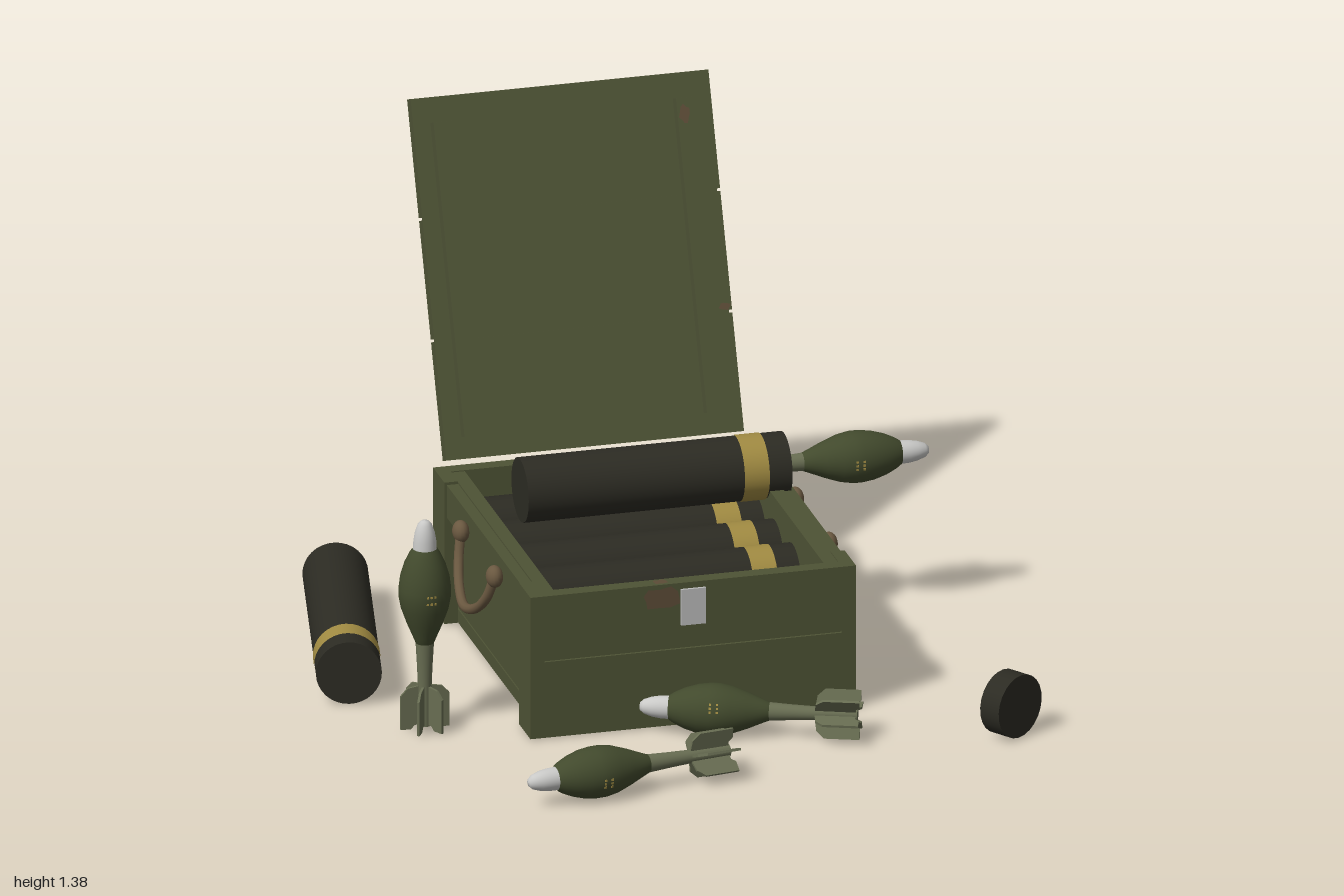
import * as THREE from 'three';

const mat = (name, color, side = THREE.FrontSide) => {
  const m = new THREE.MeshStandardMaterial({ color, side });
  m.name = name;
  return m;
};

export function createModel() {
  const olive = mat('olive paint', 0x4e5335);
  const tubeDark = mat('dark fibre tube', 0x2c2b23);
  const gold = mat('yellow band', 0xa18b42);
  const bodyGreen = mat('shell green', 0x424a2d);
  const finGreen = mat('fin grey green', 0x686d52);
  const silver = mat('silver nose', 0xc9c9c7);
  const rope = mat('brown rope', 0x6a5840);
  const rust = mat('worn wood', 0x5d4c37, THREE.DoubleSide);
  const steel = mat('hinge steel', 0x55565a);
  const latchSteel = mat('latch steel', 0xbcbcbc);

  const root = new THREE.Group();
  root.name = 'shellCrate';
  const UP = new THREE.Vector3(0, 1, 0);

  const add = (parent, name, geo, material, x = 0, y = 0, z = 0) => {
    const m = new THREE.Mesh(geo, material);
    m.name = name;
    m.position.set(x, y, z);
    parent.add(m);
    return m;
  };
  // box given by its limits on each axis
  const slab = (parent, name, material, x0, x1, y0, y1, z0, z1) =>
    add(parent, name, new THREE.BoxGeometry(x1 - x0, y1 - y0, z1 - z0), material,
      (x0 + x1) / 2, (y0 + y1) / 2, (z0 + z1) / 2);
  // irregular flat worn patch
  const patch = (parent, x, y, z, rx, ry, rotX = 0, rotY = 0) => {
    const g = new THREE.CircleGeometry(1, 11);
    const p = g.attributes.position;
    for (let i = 1; i < p.count; i++) {
      const a = ((i - 1) % 11) * 2.3, k = 0.85 + 0.15 * Math.sin(a * 1.7 + x * 9);
      p.setXY(i, p.getX(i) * k * rx, p.getY(i) * k * ry);
    }
    add(parent, 'wornPatch', g, rust, x, y, z).rotation.set(rotX, rotY, 0);
  };

  // ---- crate, centred on CX, CZ ----
  const CX = 0.02, CZ = -0.06, B = 0.007, T = 0.43;
  const crate = new THREE.Group();
  crate.name = 'crate';
  root.add(crate);
  slab(crate, 'floor', olive, -0.41, 0.45, B, 0.047, -0.57, 0.45);
  for (const [z0, z1] of [[0.412, 0.455], [-0.575, -0.532]]) {
    slab(crate, 'lowerBoard', olive, -0.41, 0.45, B, 0.233, z0, z1);
    slab(crate, 'upperBoard', olive, -0.41, 0.45, 0.239, T, z0, z1);
    slab(crate, 'boardSeam', olive, -0.41, 0.45, 0.22, 0.25, z0 + 0.008, z1 - 0.008);
  }
  for (const s of [-1, 1]) {
    const side = (name, a, b, y0, y1, z0, z1) => {
      const p = CX + s * a, q = CX + s * b;
      slab(crate, name, olive, Math.min(p, q), Math.max(p, q), y0, y1, z0, z1);
    };
    side('endWall', 0.39, 0.43, 0.052, T - 0.003, -0.532, 0.412);
    side('endRail', 0.43, 0.463, 0.325, T - 0.008, -0.455, 0.335);
    side('cornerPost', 0.43, 0.47, B, T, 0.335, 0.455);
    side('cornerPost', 0.43, 0.47, B, T, -0.575, -0.455);

    // rope handle with knots
    const pts = [[0.483, 0.37, 0.178], [0.497, 0.30, 0.15], [0.512, 0.245, 0.09], [0.522, 0.218, 0],
      [0.512, 0.245, -0.09], [0.497, 0.30, -0.15], [0.483, 0.37, -0.178]]
      .map(([x, y, z]) => new THREE.Vector3(CX + s * x, y, CZ + 0.005 + z));
    add(crate, 'ropeHandle', new THREE.TubeGeometry(new THREE.CatmullRomCurve3(pts), 32, 0.014, 10), rope);
    for (const p of [pts[0], pts[6]])
      add(crate, 'handleKnot', new THREE.SphereGeometry(0.032, 16, 12), rope, p.x, p.y, p.z).scale.x = 0.75;
  }
  slab(crate, 'latchPlate', latchSteel, -0.016, 0.055, 0.305, 0.412, 0.454, 0.463);
  for (const x of [-0.225, 0.265])
    slab(crate, 'hinge', steel, x - 0.037, x + 0.037, 0.29, 0.425, -0.584, -0.574);

  patch(crate, -0.07, 0.39, 0.457, 0.065, 0.038);
  patch(crate, -0.07, 0.432, 0.436, 0.025, 0.018, -Math.PI / 2);
  patch(crate, 0.492, 0.095, -0.5, 0.02, 0.03, 0, Math.PI / 2);
  patch(crate, 0.452, 0.095, -0.4, 0.035, 0.03, 0, Math.PI / 2);
  patch(crate, 0.472, 0.432, -0.52, 0.016, 0.05, -Math.PI / 2);
  patch(crate, 0.13, 0.17, -0.577, 0.025, 0.045);
  patch(crate, -0.1, 0.3, -0.577, 0.03, 0.03);
  patch(crate, 0.1, 0.005, 0.25, 0.06, 0.035, Math.PI / 2);

  // ---- open lid, leaning back on its hinge edge ----
  const lid = new THREE.Group();
  lid.name = 'lid';
  lid.position.set(0, 0.44, -0.58);
  lid.rotation.x = -0.382;
  root.add(lid);
  for (let i = 0; i < 3; i++)
    slab(lid, 'lidBoard', olive, -0.41, 0.45, i * 0.34 + 0.004, i * 0.34 + 0.336, -0.04, 0);
  for (let i = 1; i < 3; i++)
    slab(lid, 'lidSeam', olive, -0.405, 0.445, i * 0.34 - 0.01, i * 0.34 + 0.01, -0.023, -0.017);
  for (const x of [-0.33, 0.37])
    slab(lid, 'lidBatten', olive, x - 0.03, x + 0.03, 0.065, 0.945, 0, 0.036);
  patch(lid, 0.36, 0.9, 0.038, 0.018, 0.03);
  patch(lid, 0.43, 0.355, 0.002, 0.02, 0.012);

  // ---- storage tubes: local +y runs to the capped end ----
  const R = 0.092, L = 0.762;
  const tube = (name, start, dir, open = false) => {
    const g = new THREE.Group();
    g.name = name;
    g.position.copy(start);
    g.quaternion.setFromUnitVectors(UP, dir.clone().normalize());
    root.add(g);
    if (open) {
      const wall = [[0, 0], [R, 0], [R, 0], [R, L], [R, L], [R - 0.014, L], [R - 0.014, L],
        [R - 0.014, L - 0.3], [R - 0.014, L - 0.3], [0, L - 0.3]];
      add(g, 'openTube', new THREE.LatheGeometry(wall.map((p) => new THREE.Vector2(...p)), 32), tubeDark);
    } else {
      add(g, 'tubeBody', new THREE.CylinderGeometry(R, R, L, 32), tubeDark, 0, L / 2);
    }
    add(g, 'tubeBand', new THREE.CylinderGeometry(R + 0.002, R + 0.002, 0.072, 32, 1, true), gold, 0, L - 0.102);
  };
  const X = new THREE.Vector3(1, 0, 0);
  for (const z of [-0.43, -0.245, -0.06, 0.128, 0.315])
    tube('storedTube', new THREE.Vector3(-0.365, 0.287, z), X);
  tube('raisedTube', new THREE.Vector3(-0.29, 0.473, -0.24), X, true);
  tube('looseTube', new THREE.Vector3(-0.702, 0.098, -0.685), new THREE.Vector3(-0.163, 0, 0.74));

  // loose tube cap lying on its rim
  const cap = add(root, 'looseCap', new THREE.CylinderGeometry(R, R, 0.068, 24), tubeDark, 0.852, 0.098, 0.768);
  cap.quaternion.setFromUnitVectors(UP, new THREE.Vector3(0.56, 0, 0.83).normalize());

  // ---- finned shells: local +y runs from tail to nose ----
  const lathe = (pts) => new THREE.LatheGeometry(pts.map((p) => new THREE.Vector2(...p)), 28);
  const bodyGeo = lathe([[0.019, 0.245], [0.026, 0.255], [0.034, 0.275], [0.051, 0.315], [0.067, 0.36],
    [0.0735, 0.395], [0.0735, 0.42], [0.069, 0.455], [0.058, 0.492], [0.044, 0.522], [0.034, 0.537]]);
  const noseGeo = lathe([[0.033, 0.534], [0.032, 0.56], [0.028, 0.585], [0.02, 0.608], [0.011, 0.618], [0, 0.62]]);
  const boomGeo = lathe([[0, 0.008], [0.018, 0.008], [0.018, 0.008], [0.019, 0.12], [0.022, 0.19], [0.026, 0.258]]);
  const finShape = new THREE.Shape([[0.01, 0.012], [0.03, 0.012], [0.04, 0], [0.07, 0], [0.07, 0.1], [0.05, 0.122], [0.01, 0.128]]
    .map((p) => new THREE.Vector2(...p)));
  const finGeo = new THREE.ExtrudeGeometry(finShape, { depth: 0.007, bevelEnabled: false }).translate(0, 0, -0.0035);
  const shell = (name, tail, dir) => {
    const g = new THREE.Group();
    g.name = name;
    g.position.copy(tail);
    g.quaternion.setFromUnitVectors(UP, dir.clone().normalize());
    root.add(g);
    add(g, 'shellBody', bodyGeo, bodyGreen);
    add(g, 'shellNose', noseGeo, silver);
    add(g, 'tailBoom', boomGeo, finGreen);
    for (let i = 0; i < 6; i++) add(g, 'tailFin', finGeo, finGreen).rotation.y = (i * Math.PI) / 3;
    // small painted specks on the front of the belly
    for (let i = 0; i < 6; i++) {
      const a = ((i % 3) - 1) * 0.15;
      const speck = add(g, 'paintSpeck', new THREE.BoxGeometry(0.006, 0.006, 0.003), gold,
        Math.sin(a) * 0.0735, 0.395 + 0.02 * Math.floor(i / 3), Math.cos(a) * 0.0735);
      speck.rotation.y = a;
    }
  };
  shell('standingShell', new THREE.Vector3(-0.71, 0.007, 0.29), UP);
  shell('lyingShell', new THREE.Vector3(0.02, 0.08, 0.858), new THREE.Vector3(-0.61, 0, 0.095));
  shell('lyingShell', new THREE.Vector3(0.437, 0.08, 0.698), new THREE.Vector3(-0.562, 0, -0.223));
  shell('emergingShell', new THREE.Vector3(0.27, 0.473, -0.24), X);

  return root;
}
